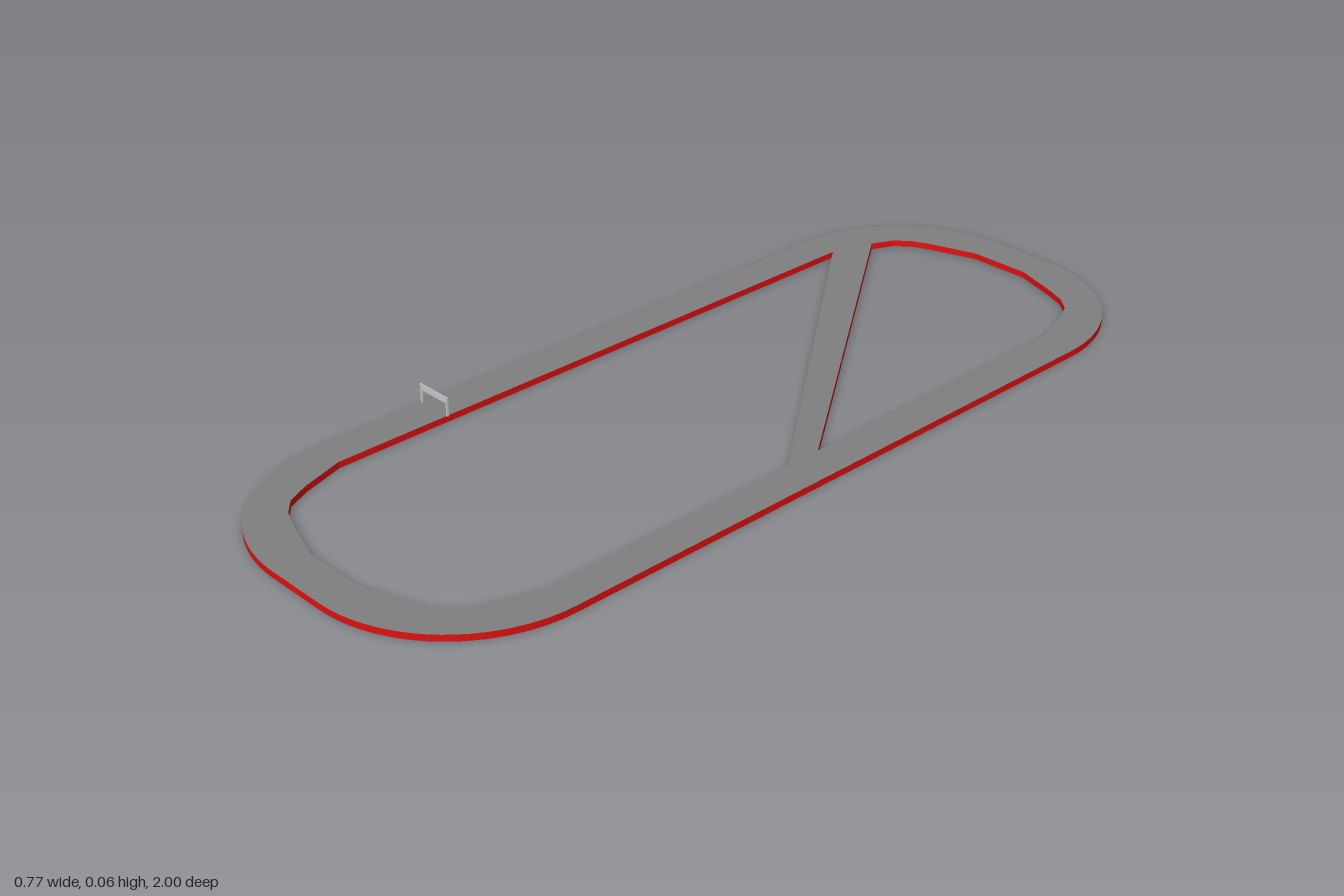
import * as THREE from 'three';

const THICK = 0.014;

// Inner kerb of one rounded end, from the straight side to the middle of the end
const INNER_CORNER = [[0.303, 0.69], [0.272, 0.788], [0.248, 0.838], [0.215, 0.866], [0.17, 0.885], [0.07, 0.918]];

// Corner points mirrored by signs; shape y is the model's -z
const corner = (sx, sy, reverse) => {
  const pts = INNER_CORNER.map(([x, y]) => new THREE.Vector2(x * sx, y * sy));
  return reverse ? pts.reverse() : pts;
};

function addBox(group, name, size, pos, material) {
  const mesh = new THREE.Mesh(new THREE.BoxGeometry(...size), material);
  mesh.name = name;
  mesh.position.set(...pos);
  group.add(mesh);
}

export function createModel() {
  const model = new THREE.Group();
  model.name = 'raceTrack';
  const grey = new THREE.MeshStandardMaterial({ color: 0xcccccc });
  const asphalt = new THREE.MeshStandardMaterial({ color: 0x808080 });
  const red = new THREE.MeshStandardMaterial({ color: 0xe01010 });

  // Outer outline: rounded rectangle
  const W = 0.384, L = 1, R = 0.314;
  const outline = new THREE.Shape();
  outline.absarc(W - R, L - R, R, 0, Math.PI / 2);
  outline.absarc(R - W, L - R, R, Math.PI / 2, Math.PI);
  outline.absarc(R - W, R - L, R, Math.PI, Math.PI * 1.5);
  outline.absarc(W - R, R - L, R, Math.PI * 1.5, Math.PI * 2);
  outline.closePath();

  // Two infields, leaving the diagonal short cut between them
  const backInfield = [
    new THREE.Vector2(0.303, 0),
    ...corner(1, 1, false),
    ...corner(-1, 1, true).slice(0, -1),
  ];
  const frontInfield = [
    new THREE.Vector2(0.303, -0.083),
    new THREE.Vector2(-0.303, 0.69),
    ...corner(-1, -1, false),
    ...corner(1, -1, true),
  ];
  outline.holes.push(new THREE.Path(backInfield), new THREE.Path(frontInfield));

  // Road surface with red kerb edges
  const trackGeometry = new THREE.ExtrudeGeometry(outline, { depth: THICK, bevelEnabled: false, curveSegments: 10 });
  trackGeometry.rotateX(-Math.PI / 2);
  const track = new THREE.Mesh(trackGeometry, [asphalt, red]);
  track.name = 'track';
  model.add(track);

  // Start gate across the right-hand straight
  const gate = new THREE.Group();
  gate.name = 'startGate';
  const top = 0.056, gateZ = 0.428;
  for (const [name, x] of [['outerPost', -0.383], ['innerPost', -0.301]]) {
    addBox(gate, name, [0.004, top - THICK, 0.004], [x, (top + THICK) / 2, gateZ], grey);
  }
  addBox(gate, 'banner', [0.078, 0.014, 0.002], [-0.342, top - 0.007, gateZ], grey);
  model.add(gate);

  return model;
}
